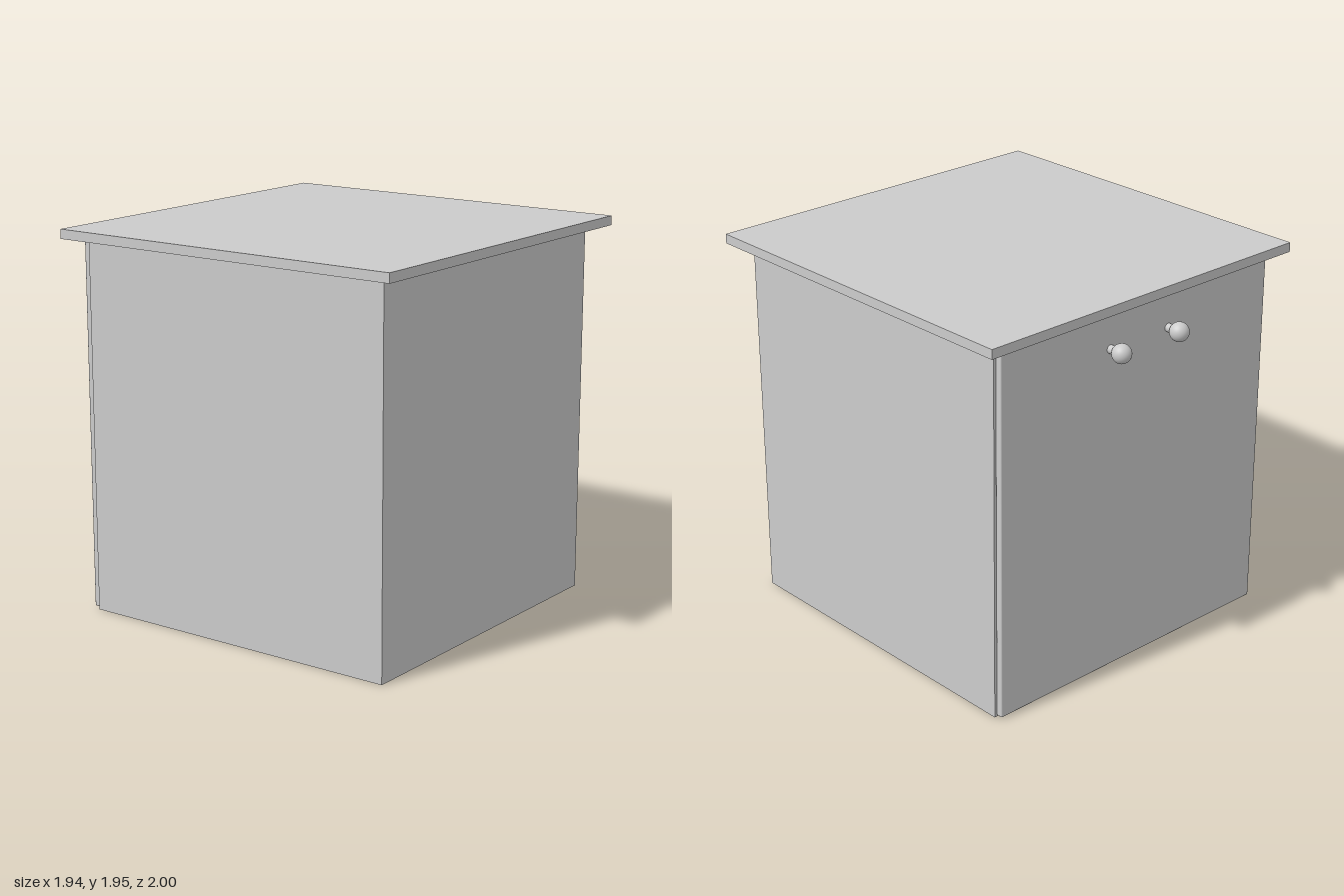
import * as THREE from 'three';
import { RoundedBoxGeometry } from 'three/addons/geometries/RoundedBoxGeometry.js';

const material = new THREE.MeshStandardMaterial({ color: 0xcccccc });

function add(parent, name, geometry, x, y, z) {
  const mesh = new THREE.Mesh(geometry, material);
  mesh.name = name;
  mesh.position.set(x, y, z);
  parent.add(mesh);
  return mesh;
}

export function createModel() {
  const cabinet = new THREE.Group();
  cabinet.name = 'cabinet';

  // Carcass and overhanging top
  add(cabinet, 'body', new THREE.BoxGeometry(1.75, 1.897, 1.747), 0, 0.9485, 0.031);
  add(cabinet, 'top', new THREE.BoxGeometry(1.94, 0.048, 1.938), 0, 1.921, 0.031);

  // Door panel on the back, slightly inset, with softened edges
  add(cabinet, 'door', new RoundedBoxGeometry(1.73, 1.877, 0.036, 2, 0.006), 0, 0.9485, -0.861);

  // Pair of round knobs on short stems
  for (const side of [-1, 1]) {
    const knob = new THREE.Group();
    knob.name = side > 0 ? 'leftKnob' : 'rightKnob';
    knob.position.set(side * 0.19, 1.703, 0);
    const stem = add(knob, 'stem', new THREE.CylinderGeometry(0.021, 0.021, 0.08, 24), 0, 0, -0.915);
    stem.rotation.x = Math.PI / 2;
    add(knob, 'ball', new THREE.SphereGeometry(0.048, 32, 20), 0, 0, -0.952);
    cabinet.add(knob);
  }
  return cabinet;
}
